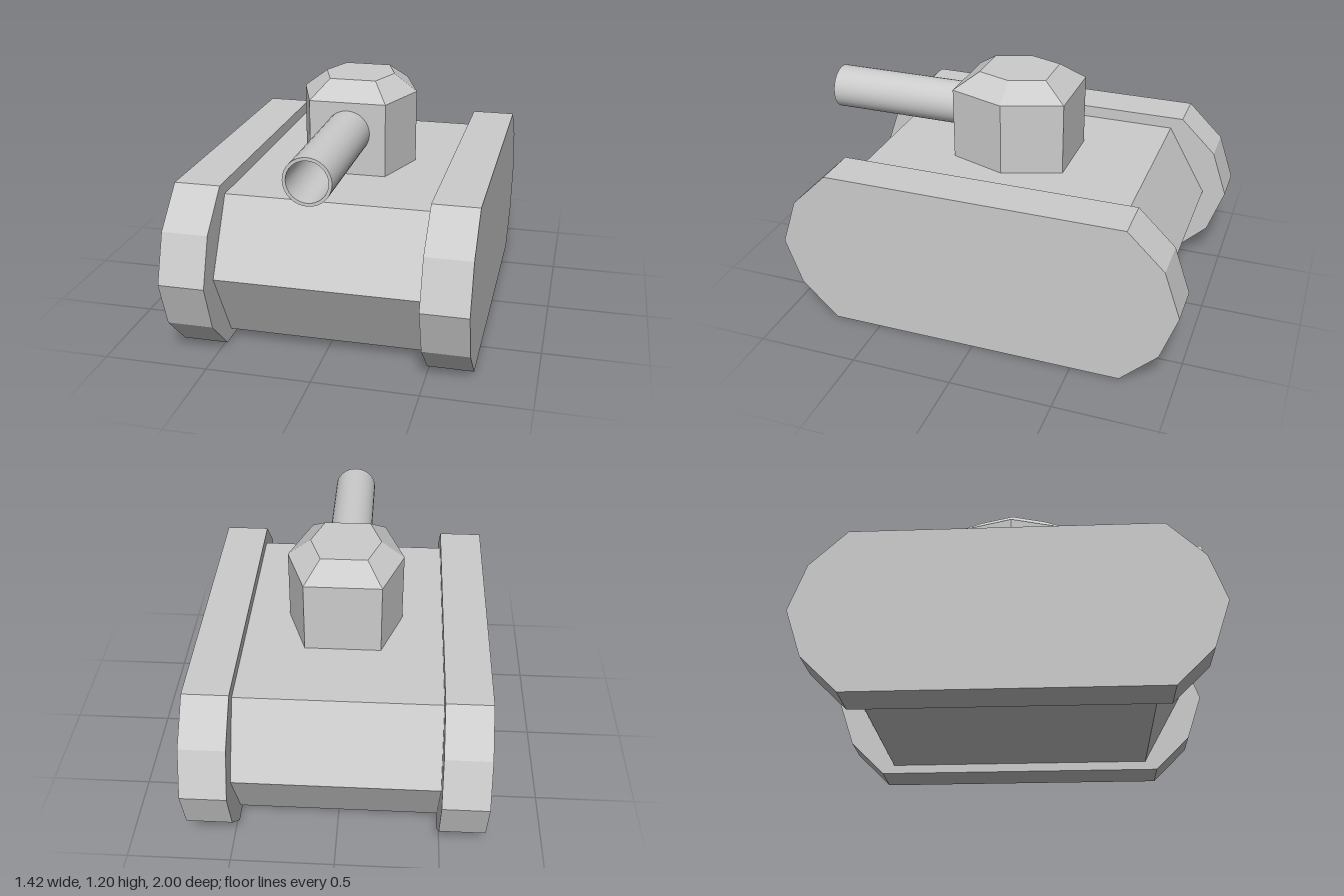
import * as THREE from 'three';
import { ConvexGeometry } from 'three/addons/geometries/ConvexGeometry.js';
import { toCreasedNormals } from 'three/addons/utils/BufferGeometryUtils.js';

export function createModel() {
  const group = new THREE.Group();
  const flat = new THREE.MeshStandardMaterial({ color: 0xcccccc, flatShading: true });
  const smooth = new THREE.MeshStandardMaterial({ color: 0xcccccc });

  function add(name, geometry, material = flat) {
    const mesh = new THREE.Mesh(geometry, material);
    mesh.name = name;
    group.add(mesh);
    return mesh;
  }

  // Side profile: [z, y] points of the front half, top to bottom, mirrored to the back
  function slab(half, width) {
    const back = half.map(([z, y]) => [-z, y]).reverse();
    const shape = new THREE.Shape([...half, ...back].map(([z, y]) => new THREE.Vector2(z, y)));
    const geometry = new THREE.ExtrudeGeometry(shape, { depth: width, bevelEnabled: false });
    return geometry.translate(0, 0, -width / 2).rotateY(-Math.PI / 2);
  }

  // Hull between the tracks
  add('hull', slab([[0.68, 0.75], [0.88, 0.4], [0.68, 0.045]], 0.98));

  // Tracks
  const trackProfile = [[0.74, 0.81], [0.92, 0.635], [1, 0.405], [0.92, 0.175], [0.74, 0]];
  for (const side of [-1, 1]) {
    const track = add(side > 0 ? 'leftTrack' : 'rightTrack', slab(trackProfile, 0.22));
    track.position.x = side * 0.6;
  }

  // Six-sided turret with a sloped roof
  const hexagon = (point, x, z, y) => [[point, 0], [x, z], [-x, z], [-point, 0], [-x, -z], [x, -z]]
    .map(([px, pz]) => new THREE.Vector3(px, y, pz));
  add('turret', new ConvexGeometry([
    ...hexagon(0.287, 0.187, 0.285, 0.74),
    ...hexagon(0.287, 0.187, 0.285, 1.11),
  ]));
  add('turretRoof', new ConvexGeometry([
    ...hexagon(0.287, 0.187, 0.285, 1.11),
    ...hexagon(0.173, 0.113, 0.17, 1.195),
  ]));

  // Hollow gun barrel
  const barrelProfile = [[0.11, 0.28], [0.11, 0.993], [0.095, 0.993], [0.095, 0.28]]
    .map(([r, z]) => new THREE.Vector2(r, z));
  const barrel = new THREE.LatheGeometry(barrelProfile, 32).rotateX(Math.PI / 2);
  add('barrel', toCreasedNormals(barrel, 0.6), smooth).position.y = 0.96;

  return group;
}
